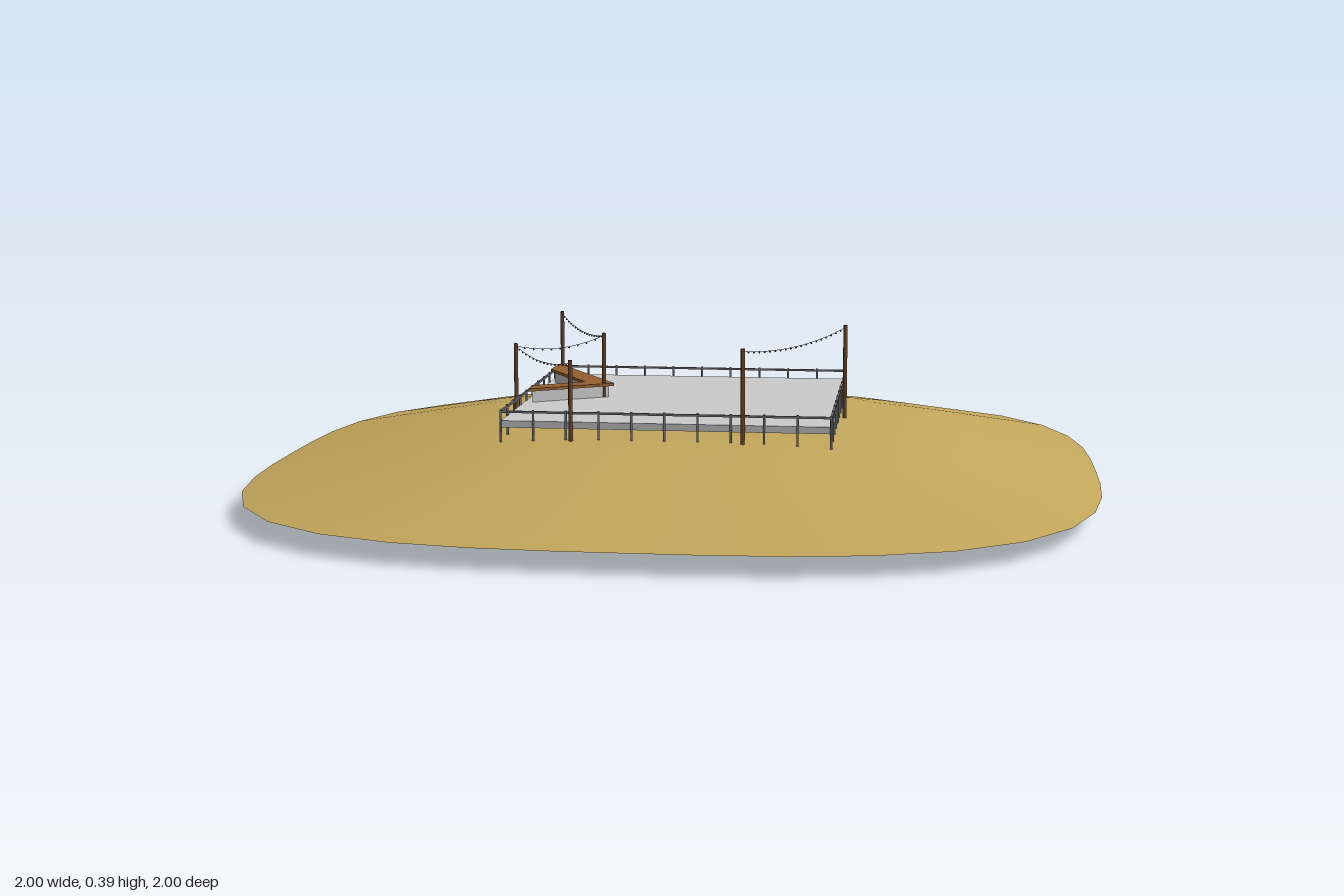
import * as THREE from 'three';

const mat = (color, side = THREE.FrontSide) => new THREE.MeshStandardMaterial({ color, side });
const SAND = mat(0xc4a75c, THREE.DoubleSide);
const FLOOR = mat(0xcccccc);
const METAL = mat(0x77777c);
const COUNTER = mat(0x96602f);
const POLE = mat(0x6b4526);
const BULB = mat(0x55504a);

function add(parent, name, geometry, material, x = 0, y = 0, z = 0) {
  const mesh = new THREE.Mesh(geometry, material);
  mesh.name = name;
  mesh.position.set(x, y, z);
  parent.add(mesh);
  return mesh;
}

// Low mound: rings of a rounded square, from the outer rim to the centre
function moundGeometry() {
  const rings = [[1, 0.048], [0.9, 0.07], [0.8, 0.092], [0.7, 0.114], [0.6, 0.135],
    [0.5, 0.153], [0.4, 0.165], [0.3, 0.169], [0.15, 0.167], [0, 0.166]];
  const n = 40, power = 3.1, pos = [], index = [];
  for (const [size, y] of rings) {
    for (let i = 0; i < n; i++) {
      const a = (i / n) * Math.PI * 2, c = Math.cos(a), s = Math.sin(a);
      const r = size / Math.pow(Math.abs(c) ** power + Math.abs(s) ** power, 1 / power);
      pos.push(r * c, y, r * s);
    }
  }
  for (let k = 0; k < rings.length - 1; k++) {
    for (let i = 0; i < n; i++) {
      const a = k * n + i, b = k * n + (i + 1) % n;
      index.push(a, a + n, b);
      if (k < rings.length - 2) index.push(b, a + n, b + n);
    }
  }
  const g = new THREE.BufferGeometry();
  g.setAttribute('position', new THREE.Float32BufferAttribute(pos, 3));
  g.setIndex(index);
  g.computeVertexNormals();
  return g;
}

// Upright prism over an outline given as [x, z] points
function prism(points, depth) {
  const shape = new THREE.Shape(points.map(([x, z]) => new THREE.Vector2(x, -z)));
  const g = new THREE.ExtrudeGeometry(shape, { depth, bevelEnabled: false });
  return g.rotateX(-Math.PI / 2);
}

// One side of the railing, running along x
function railingSide(half) {
  const side = new THREE.Group();
  side.name = 'railingSide';
  add(side, 'topRail', new THREE.BoxGeometry(half * 2, 0.005, 0.005), METAL, 0, 0.227, half);
  const post = new THREE.CylinderGeometry(0.0028, 0.0028, 0.115, 6);
  const count = 10;
  for (let i = 0; i < count; i++) {
    add(side, 'railingPost', post, METAL, -half + (i / count) * half * 2, 0.1745, half);
  }
  return side;
}

// Sagging string of small bulbs between two pole tops
function lightString(a, b, sag) {
  const group = new THREE.Group();
  group.name = 'lightString';
  const mid = a.clone().lerp(b, 0.5);
  mid.y -= sag * 2;
  const curve = new THREE.QuadraticBezierCurve3(a, mid, b);
  add(group, 'wire', new THREE.TubeGeometry(curve, 16, 0.0006, 4), BULB);
  const bulb = new THREE.SphereGeometry(0.0024, 6, 4);
  const count = Math.round(a.distanceTo(b) / 0.022);
  for (let i = 1; i < count; i++) {
    const p = curve.getPoint(i / count);
    add(group, 'bulb', bulb, BULB, p.x, p.y - 0.002, p.z);
  }
  return group;
}

export function createModel() {
  const model = new THREE.Group();
  model.name = 'beachTerrace';
  add(model, 'sandMound', moundGeometry(), SAND);

  // Raised floor and railing on all four sides
  const half = 0.38;
  add(model, 'floor', new THREE.BoxGeometry(half * 2, 0.016, half * 2), FLOOR, 0, 0.198, 0);
  for (let i = 0; i < 4; i++) {
    const side = railingSide(half);
    side.rotation.y = i * Math.PI / 2;
    model.add(side);
  }

  // Angled bar with an overhanging top
  const bar = new THREE.Group();
  bar.name = 'bar';
  add(bar, 'barTop', prism([[-0.37, -0.325], [-0.175, 0], [-0.365, 0.12], [-0.365, 0.06],
    [-0.25, -0.015], [-0.375, -0.225]], 0.007), COUNTER, 0, 0.234, 0);
  add(bar, 'barBase', prism([[-0.366, -0.3], [-0.189, -0.004], [-0.36, 0.105], [-0.36, 0.07],
    [-0.236, -0.011], [-0.366, -0.23]], 0.03), FLOOR, 0, 0.205, 0);
  model.add(bar);

  // Poles: x, z, bottom, top
  const poles = [
    [-0.37, -0.365, 0.06, 0.375],
    [-0.2, 0, 0.05, 0.365],
    [-0.398, 0.11, 0.04, 0.35],
    [-0.215, 0.39, 0.04, 0.35],
    [0.18, 0.39, 0.003, 0.383],
    [0.393, -0.003, 0.028, 0.393],
  ];
  const tops = poles.map(([x, z, low, high]) => {
    const g = new THREE.CylinderGeometry(0.005, 0.005, high - low, 8);
    add(model, 'pole', g, POLE, x, (low + high) / 2, z);
    return new THREE.Vector3(x, high - 0.006, z);
  });
  for (const [a, b] of [[0, 1], [1, 2], [2, 3], [4, 5]]) {
    model.add(lightString(tops[a], tops[b], 0.018));
  }

  // Stand on the ground
  const low = new THREE.Box3().setFromObject(model).min.y;
  for (const part of model.children) part.position.y -= low;
  return model;
}
